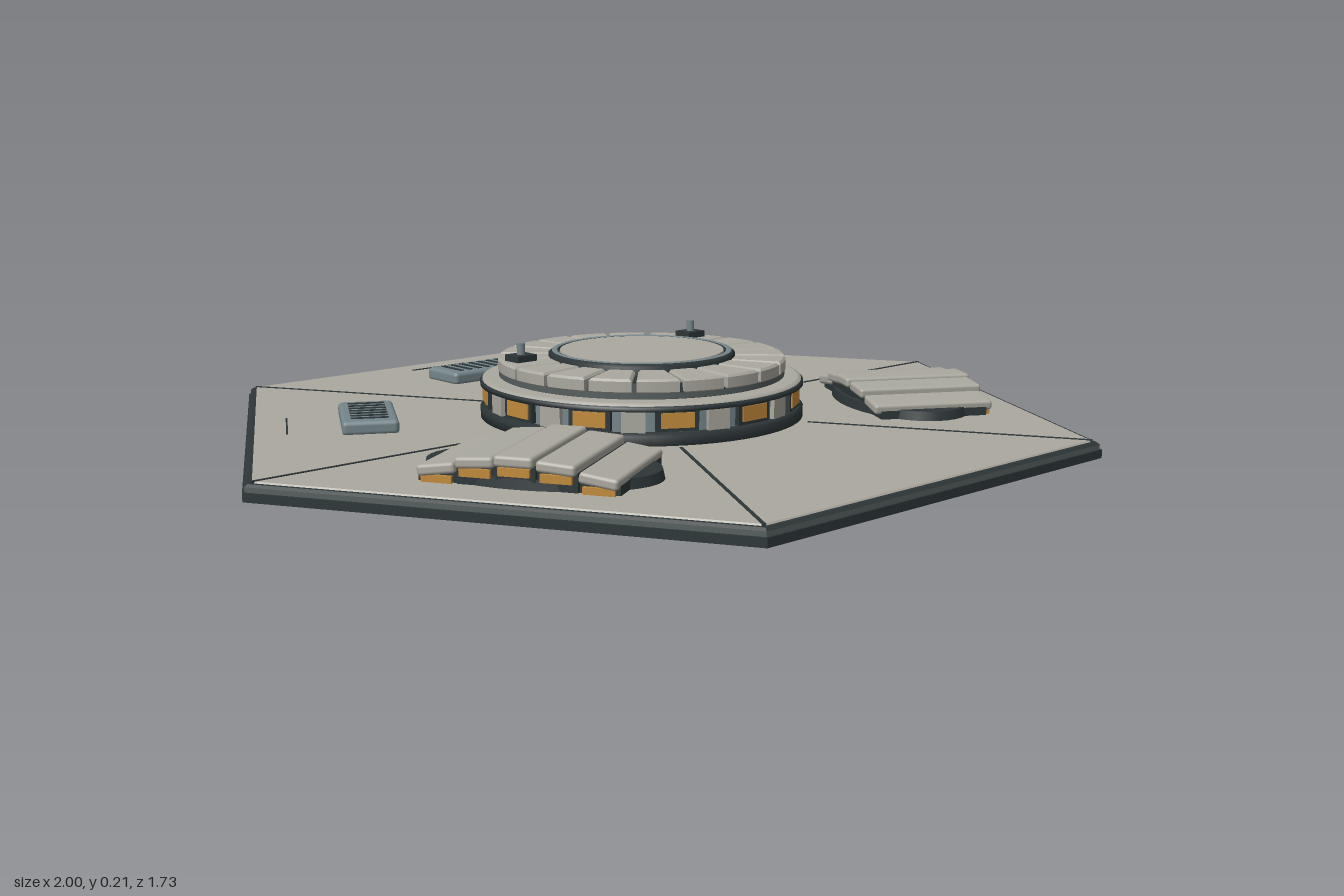
import * as THREE from 'three';
import { RoundedBoxGeometry } from 'three/addons/geometries/RoundedBoxGeometry.js';

const mat = (name, color) => Object.assign(new THREE.MeshStandardMaterial({ color }), { name });

export function createModel() {
  const root = new THREE.Group();
  root.name = 'hexagonalStation';
  const hull = mat('hull grey', 0xaaa89e);
  const dark = mat('dark metal', 0x2d3638);
  const slate = mat('slate metal', 0x74858a);
  const edge = mat('edge grey', 0x565e5e);
  const glow = mat('amber glass', 0xc18a3c);

  function add(parent, name, geo, material, x = 0, y = 0, z = 0) {
    const m = new THREE.Mesh(geo, material);
    m.name = name;
    m.position.set(x, y, z);
    parent.add(m);
    return m;
  }
  const box = (w, h, d) => new THREE.BoxGeometry(w, h, d);
  // group turned so that its local +z points outward
  function spoke(name, degrees) {
    const g = new THREE.Group();
    g.name = name;
    g.rotation.y = THREE.MathUtils.degToRad(degrees);
    root.add(g);
    return g;
  }
  const lathe = (pts) => new THREE.LatheGeometry(pts.map(p => new THREE.Vector2(p[0], p[1])), 64);
  // hexagonal slab with its corners on the x axis
  function hex(name, r0, r1, y0, y1, material) {
    const g = new THREE.CylinderGeometry(r1, r0, y1 - y0, 6, 1, false, Math.PI / 6).toNonIndexed();
    g.computeVertexNormals();
    add(root, name, g, material, 0, (y0 + y1) / 2, 0);
  }
  // flat ring sector, lying on y = 0 and centred on +z
  function sector(r0, r1, angle, depth, bevel) {
    const s = new THREE.Shape();
    const a = -Math.PI / 2;
    s.absarc(0, 0, r1, a - angle / 2, a + angle / 2, false);
    s.absarc(0, 0, r0, a + angle / 2, a - angle / 2, true);
    s.closePath();
    const g = new THREE.ExtrudeGeometry(s, {
      depth: depth - 2 * bevel, bevelEnabled: true, bevelSize: bevel, bevelOffset: -bevel,
      bevelThickness: bevel, bevelSegments: 1, curveSegments: 4,
    });
    return g.translate(0, 0, bevel).rotateX(-Math.PI / 2);
  }

  // deck
  hex('deckBase', 1, 1, 0, 0.018, dark);
  hex('deckEdge', 0.995, 0.995, 0.018, 0.028, edge);
  hex('deckRim', 0.995, 0.988, 0.028, 0.033, dark);
  hex('deckPlate', 0.982, 0.976, 0.03, 0.036, hull);
  for (let i = 0; i < 6; i++) {
    add(spoke('deckSeam', 30 + i * 60), 'seam', box(0.007, 0.006, 0.6), dark, 0, 0.0345, 0.68);
  }

  // central drum
  add(root, 'drumFoot', lathe([[0.3, 0.03], [0.36, 0.03], [0.36, 0.056], [0.35, 0.062], [0.3, 0.062]]), dark);
  add(root, 'drumWall', new THREE.CylinderGeometry(0.342, 0.342, 0.055, 48, 1, true), slate, 0, 0.085, 0);
  for (let i = 0; i < 12; i++) {
    const win = spoke('drumWindow', i * 30);
    add(win, 'windowFrame', box(0.09, 0.044, 0.02), dark, 0, 0.086, 0.34);
    add(win, 'windowGlass', box(0.07, 0.032, 0.008), glow, 0, 0.087, 0.349);
    add(spoke('drumPier', i * 30 + 15), 'pier', box(0.05, 0.05, 0.02), hull, 0, 0.086, 0.34);
  }
  add(root, 'drumLip', lathe([[0.34, 0.107], [0.36, 0.107], [0.36, 0.115], [0.354, 0.118]]), dark);
  add(root, 'drumRoof', lathe([[0.355, 0.114], [0.355, 0.12], [0.345, 0.124], [0.2, 0.124]]), hull);

  // upper tier with wedge tiles
  add(root, 'tierCore', new THREE.CylinderGeometry(0.305, 0.312, 0.034, 64), dark, 0, 0.139, 0);
  add(root, 'tierBand', new THREE.CylinderGeometry(0.318, 0.318, 0.012, 64, 1, true), edge, 0, 0.132, 0);
  const tile = sector(0.2, 0.32, Math.PI / 10 - 0.03, 0.032, 0.005);
  for (let i = 0; i < 20; i++) add(spoke('roofTile', i * 18), 'tile', tile, hull, 0, 0.135, 0);

  // crown
  add(root, 'crownRing', lathe([[0.208, 0.15], [0.208, 0.172], [0.2, 0.178], [0.186, 0.178], [0.186, 0.165]]), dark);
  add(root, 'crownTrim', lathe([[0.2, 0.1785], [0.194, 0.1805], [0.188, 0.1785]]), slate);
  add(root, 'crownPlate', new THREE.CylinderGeometry(0.182, 0.187, 0.02, 64), hull, 0, 0.169, 0);

  // roof sensors
  for (const s of [-1, 1]) {
    const g = new THREE.Group();
    g.name = 'roofSensor';
    g.position.set(s * 0.255, 0.167, -0.11);
    root.add(g);
    add(g, 'sensorBase', box(0.052, 0.014, 0.045), dark, 0, 0.007, 0);
    add(g, 'sensorPost', new THREE.CylinderGeometry(0.009, 0.009, 0.026, 12), slate, 0, 0.026, 0);
  }

  // rear vents and edge markers
  for (const a of [120, 180, 240]) {
    const g = spoke('vent', a);
    add(g, 'ventBody', new RoundedBoxGeometry(0.23, 0.032, 0.12, 2, 0.01), slate, 0, 0.048, 0.607);
    for (let i = -3; i <= 3; i++) {
      add(g, 'ventSlot', box(0.011, 0.004, 0.08), dark, i * 0.027, 0.0635, 0.607);
    }
    add(g, 'edgeMarker', box(0.165, 0.003, 0.004), dark, 0, 0.0365, 0.78);
  }

  // front pods with arched slats and amber end windows
  const tops = [0.1, 0.092, 0.073];
  for (const a of [60, -60]) {
    const g = spoke('pod', a);
    const foot = add(g, 'podFoot', new THREE.CylinderGeometry(0.235, 0.24, 0.022, 40), dark, 0, 0.045, 0.612);
    foot.scale.z = 0.6;
    for (let i = -2; i <= 2; i++) {
      const n = Math.abs(i), top = tops[n], low = top - 0.022;
      const z1 = 0.767 - n * 0.006, z0 = 0.468 + n * 0.006, mid = (z0 + z1) / 2;
      add(g, 'podBody', box(0.079, low - 0.03, z1 - z0 - 0.03), dark, i * 0.08, (low + 0.036) / 2, mid);
      const slat = add(g, 'podSlat', new RoundedBoxGeometry(0.077, 0.022, z1 - z0, 2, 0.007), hull,
        i * 0.08, top - 0.011, mid);
      slat.rotation.z = -i * 0.07;
      add(g, 'podWindow', box(0.062, 0.016, 0.008), glow, i * 0.08, low - 0.009, z1 - 0.008);
    }
  }
  return root;
}
